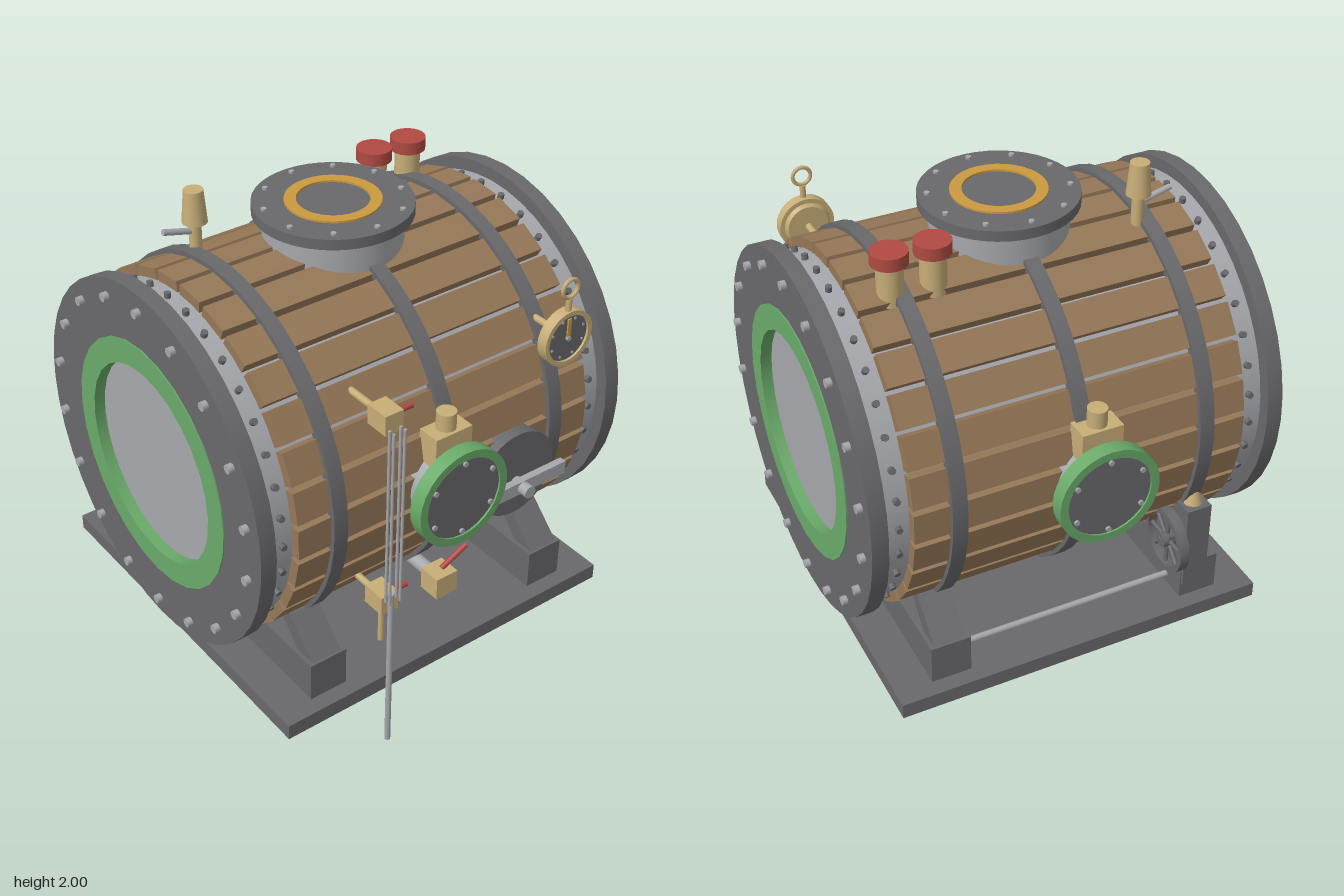
import * as THREE from 'three';
import { toCreasedNormals } from 'three/addons/utils/BufferGeometryUtils.js';

const CY = 1.065; // height of the barrel axis

function mat(name, color) {
  const m = new THREE.MeshStandardMaterial({ color });
  m.name = name;
  return m;
}

export function createModel() {
  const model = new THREE.Group();
  model.name = 'woodCladBoiler';
  const wood = mat('wood', 0x967858), iron = mat('iron', 0x69696c), steel = mat('steel', 0xa6a8ad);
  const green = mat('green', 0x6aaa6a), red = mat('red', 0xb04a42), brass = mat('brass', 0xc8ae78);
  const amber = mat('amber', 0xcc9a40);

  // Helpers: every solid is placed by its centre
  function add(parent, name, geometry, material, x = 0, y = 0, z = 0) {
    const mesh = new THREE.Mesh(geometry, material);
    mesh.name = name;
    mesh.position.set(x, y, z);
    parent.add(mesh);
    return mesh;
  }
  function group(name, x = 0, y = 0, z = 0, parent = model) {
    const g = new THREE.Group();
    g.name = name;
    g.position.set(x, y, z);
    parent.add(g);
    return g;
  }
  function turn(geometry, axis) {
    if (axis === 'x') geometry.rotateZ(-Math.PI / 2);
    if (axis === 'z') geometry.rotateX(Math.PI / 2);
    return geometry;
  }
  const box = (w, h, d) => new THREE.BoxGeometry(w, h, d);
  const cyl = (axis, r, len, sides = 24, rTop = r) => turn(new THREE.CylinderGeometry(rTop, r, len, sides), axis);
  function ring(axis, rIn, rOut, len, sides = 40) {
    const h = len / 2;
    const pts = [[rIn, -h], [rOut, -h], [rOut, h], [rIn, h], [rIn, -h]].map(p => new THREE.Vector2(...p));
    return turn(toCreasedNormals(new THREE.LatheGeometry(pts, sides), 0.6), axis);
  }
  function rod(parent, name, a, b, r, material) {
    const p = new THREE.Vector3(...a), q = new THREE.Vector3(...b);
    const mesh = add(parent, name, new THREE.CylinderGeometry(r, r, p.distanceTo(q), 10), material);
    mesh.position.copy(p).add(q).multiplyScalar(0.5);
    mesh.quaternion.setFromUnitVectors(new THREE.Vector3(0, 1, 0), q.sub(p).normalize());
  }
  function around(n, fn, start = 0) {
    for (let i = 0; i < n; i++) fn(start + (i * 2 * Math.PI) / n);
  }

  // Barrel: steel shell, wooden staves, iron bands
  const barrel = group('barrel', 0, CY, 0);
  add(barrel, 'shell', cyl('x', 0.675, 1.56, 48), steel);
  around(30, a => {
    const stave = add(barrel, 'stave', box(1.35, 0.05, 0.126), wood, 0, Math.sin(a) * 0.69, Math.cos(a) * 0.69);
    stave.rotation.x = Math.PI / 2 - a;
  });
  for (const x of [-0.505, 0, 0.505]) add(barrel, 'band', ring('x', 0.70, 0.735, 0.06, 48), iron, x);

  // Ends: flange, green ring, recessed disc and bolts
  for (const s of [-1, 1]) {
    const end = group('end', 0, 0, 0, barrel);
    add(end, 'flange', ring('x', 0.48, 0.727, 0.065), iron, s * 0.8075);
    add(end, 'endRing', ring('x', 0.4, 0.5, 0.065, 28), green, s * 0.8125);
    add(end, 'endDisc', cyl('x', 0.41, 0.02, 28), steel, s * 0.79);
    around(18, a => add(end, 'flangeBolt', cyl('x', 0.018, 0.03, 10), steel,
      s * 0.847, Math.cos(a) * 0.655, Math.sin(a) * 0.655));
    around(36, a => {
      const rivet = add(end, 'rivet', cyl('y', 0.013, 0.03, 8), iron, s * 0.72, Math.sin(a) * 0.68, Math.cos(a) * 0.68);
      rivet.rotation.x = Math.PI / 2 - a;
    });
  }

  // Top hatch
  const hatch = group('hatch');
  add(hatch, 'hatchNeck', cyl('y', 0.265, 0.26, 40), steel, 0, 1.73, 0);
  add(hatch, 'hatchLid', cyl('y', 0.303, 0.042, 40), iron, 0, 1.878, 0);
  add(hatch, 'hatchRing', ring('y', 0.137, 0.182, 0.02, 32), amber, 0, 1.897, 0);
  around(10, a => add(hatch, 'hatchBolt', cyl('y', 0.011, 0.012, 8), steel,
    Math.cos(a) * 0.265, 1.902, Math.sin(a) * 0.265), Math.PI / 10);

  // Portholes with brass valve, front and back
  for (const s of [1, -1]) {
    const port = group(s > 0 ? 'frontPorthole' : 'backPorthole', -0.035, 1.06, 0);
    add(port, 'portNeck', cyl('z', 0.145, 0.16, 32), steel, 0, 0, s * 0.71);
    add(port, 'portRing', ring('z', 0.17, 0.203, 0.06, 28), green, 0, 0, s * 0.815);
    add(port, 'portDisc', cyl('z', 0.175, 0.045, 28), iron, 0, 0, s * 0.815);
    around(6, a => add(port, 'portBolt', cyl('z', 0.011, 0.012, 8), steel,
      Math.cos(a) * 0.152, Math.sin(a) * 0.152, s * 0.84), Math.PI / 2);
    add(port, 'valveBox', box(0.165, 0.14, 0.095), brass, 0, 0.18, s * 0.727);
    add(port, 'valveCap', cyl('y', 0.038, 0.07, 20), brass, 0, 0.285, s * 0.725);
  }

  // Round cover with clamp bar
  const cover = group('roundCover', 0.3, 0.965, 0);
  add(cover, 'coverPlate', cyl('z', 0.183, 0.07, 36), iron, 0, 0, 0.72);
  add(cover, 'clampBar', box(0.41, 0.055, 0.03), steel, 0.01, -0.037, 0.782);
  add(cover, 'clampKnob', cyl('z', 0.026, 0.09, 18), steel, 0, -0.037, 0.793);

  // Pressure gauge with loop
  const gauge = group('gauge', 0.5, 1.5, 0);
  add(gauge, 'gaugeStem', cyl('z', 0.014, 0.17, 10), brass, 0, 0, 0.64);
  add(gauge, 'gaugeBack', cyl('z', 0.085, 0.02, 28, 0.1), brass, 0, 0, 0.718);
  add(gauge, 'gaugeRim', ring('z', 0.095, 0.114, 0.045, 28), brass, 0, 0, 0.745);
  add(gauge, 'gaugeFace', cyl('z', 0.1, 0.03, 28), iron, 0, 0, 0.743);
  add(gauge, 'gaugeNeedle', box(0.016, 0.08, 0.006), amber, 0, 0.042, 0.763);
  add(gauge, 'needlePin', cyl('z', 0.01, 0.015, 10), steel, 0, 0, 0.763);
  around(8, a => add(gauge, 'gaugeMark', cyl('z', 0.006, 0.006, 6), steel,
    Math.cos(a) * 0.08, Math.sin(a) * 0.08, 0.759), Math.PI / 8);
  add(gauge, 'loopStem', cyl('y', 0.012, 0.06, 10), brass, 0, 0.135, 0.75);
  add(gauge, 'loop', new THREE.TorusGeometry(0.037, 0.008, 8, 24), brass, 0, 0.205, 0.752);

  // Red-capped safety valves
  for (const x of [0.37, 0.535]) {
    const valve = group('safetyValve', x, 0, -0.235);
    add(valve, 'valveStem', cyl('y', 0.05, 0.17, 20), brass, 0, 1.785, 0);
    add(valve, 'valveTop', cyl('y', 0.07, 0.05, 24), red, 0, 1.885, 0);
  }

  // Whistle
  const whistle = group('whistle', -0.47, 0, -0.205);
  add(whistle, 'whistleStem', cyl('y', 0.024, 0.16, 16), brass, 0, 1.8, 0);
  add(whistle, 'whistleBell', cyl('y', 0.048, 0.13, 20, 0.037), brass, 0, 1.935, 0);
  rod(whistle, 'whistleLever', [-0.01, 1.835, 0], [-0.135, 1.868, 0], 0.012, steel);

  // Sight glass: two cocks, guard rods and drain pipe
  const sight = group('sightGlass', -0.337, 0, 0);
  for (const y of [1.5, 0.692]) {
    add(sight, 'cock', box(0.078, 0.08, 0.1), brass, 0, y, 0.757);
    rod(sight, 'cockPipe', [0, y, 0.55], [0, y, 0.72], 0.014, brass);
    rod(sight, 'cockLever', [0.03, y, 0.755], [0.117, y, 0.755], 0.012, red);
  }
  for (const x of [-0.024, 0.024]) for (const z of [0.812, 0.835])
    rod(sight, 'guardRod', [x, 0.715, z], [x, 1.48, z], 0.006, steel);
  rod(sight, 'drainPipe', [0, 0, 0.812], [0, 0.74, 0.812], 0.012, steel);
  rod(sight, 'drainStem', [0, 0.48, 0.757], [0, 0.66, 0.757], 0.012, brass);

  // Base plate and saddles
  add(model, 'basePlate', box(1.54, 0.065, 1.54), iron, 0, 0.2575, 0);
  const strutShape = new THREE.Shape([[0.7, 0.45], [0.55, 0.595], [0.47, 0.595], [0.6, 0.45]].map(p => new THREE.Vector2(...p)));
  const strutGeo = new THREE.ExtrudeGeometry(strutShape, { depth: 0.13, bevelEnabled: false });
  strutGeo.translate(0, 0, -0.065).rotateY(-Math.PI / 2);
  for (const x of [-0.54, 0.54]) {
    add(model, 'saddle', box(0.163, 0.166, 1.41), iron, x, 0.372, 0);
    for (const turned of [0, Math.PI]) add(model, 'saddleStrut', strutGeo, iron, x, 0, 0).rotation.y = turned;
  }

  // Blow-down cock under the barrel
  const drain = group('blowDownCock', 0.163, 0.34, 0);
  add(drain, 'drainBox', box(0.105, 0.1, 0.1), brass, 0, 0, 0.5);
  add(drain, 'drainOutlet', cyl('z', 0.03, 0.4, 16), steel, 0, 0, 0.27);
  rod(drain, 'drainLever', [0.01, 0.05, 0.5], [0.135, 0.112, 0.5], 0.012, red);

  // Rear handwheel, its gearbox and cross rod
  const wheel = group('handwheel', -0.405, 0.59, -0.67);
  add(wheel, 'wheelRim', ring('x', 0.112, 0.136, 0.04, 28), iron);
  add(wheel, 'wheelHub', cyl('x', 0.03, 0.06, 16), iron);
  around(8, a => rod(wheel, 'spoke', [0, 0, 0], [0, Math.cos(a) * 0.12, Math.sin(a) * 0.12], 0.009, iron));
  rod(wheel, 'wheelShaft', [-0.08, 0, 0], [0.03, 0, 0], 0.016, steel);
  add(model, 'gearbox', box(0.105, 0.375, 0.29), iron, -0.515, 0.545, -0.572);
  add(model, 'gearboxCap', cyl('y', 0.04, 0.08, 16, 0.015), brass, -0.515, 0.77, -0.66);
  rod(model, 'crossRod', [-0.47, 0.33, -0.6], [0.47, 0.33, -0.6], 0.013, steel);

  return model;
}
